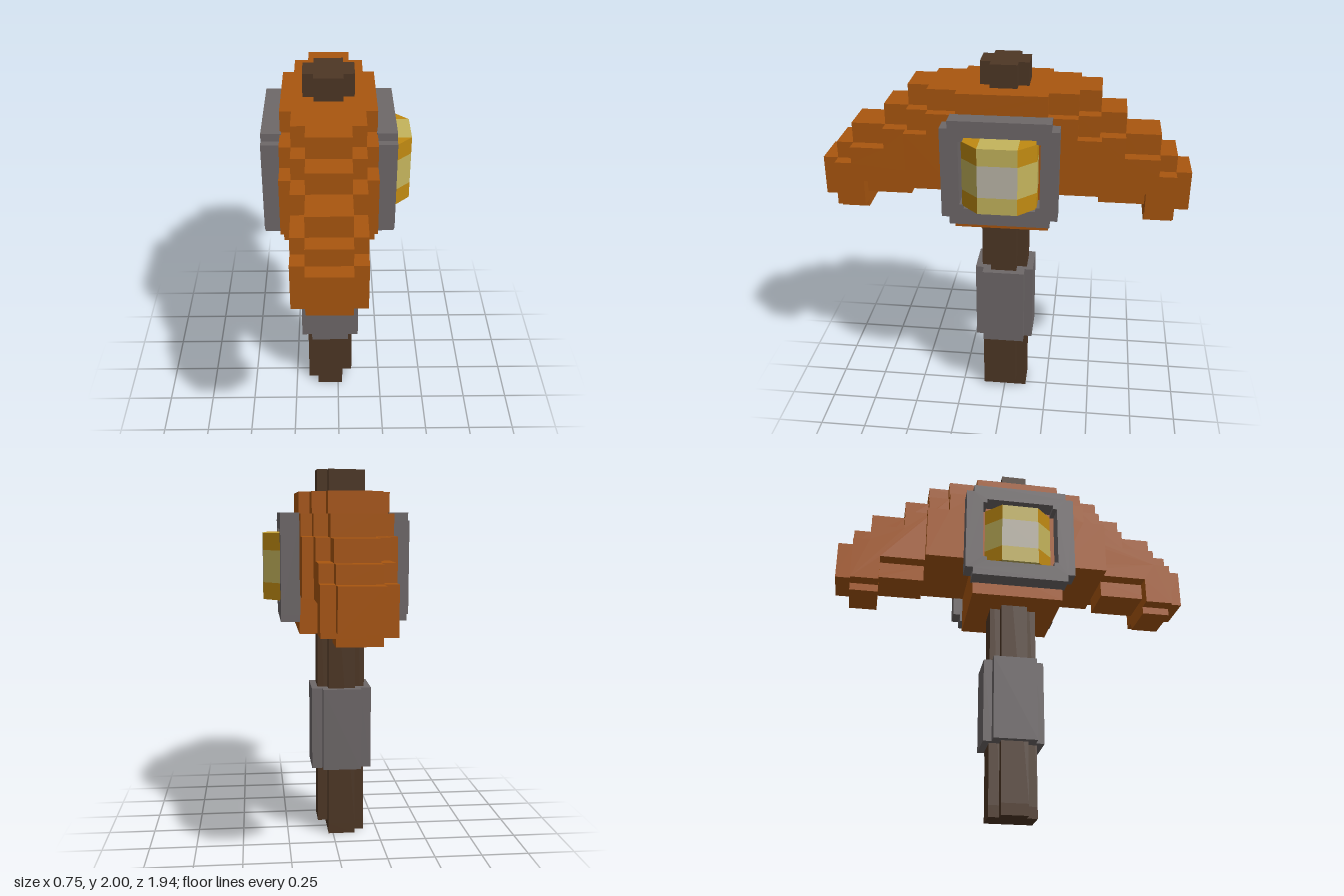
import * as THREE from 'three';

const CX = -0.047; // x of the handle axis

const mat = (name, color) => {
  const m = new THREE.MeshStandardMaterial({ color });
  m.name = name;
  return m;
};

const shapeOf = (pts) => new THREE.Shape(pts.map(([a, b]) => new THREE.Vector2(a, b)));

// Plan outline (x, z) raised from y0 to y1
function upright(pts, y0, y1) {
  const g = new THREE.ExtrudeGeometry(shapeOf(pts), { depth: y1 - y0, bevelEnabled: false });
  return g.rotateX(-Math.PI / 2).translate(0, y0, 0);
}

// Side outline (z, y) spread from x0 to x1
function sideways(shape, x0, x1) {
  const g = new THREE.ExtrudeGeometry(shape, { depth: x1 - x0, bevelEnabled: false });
  return g.rotateY(-Math.PI / 2).translate(x1, 0, 0);
}

// Rectangle with square notches of size n cut from its corners
function notched(cx, cy, w, h, nx, ny = nx) {
  return [
    [-w, -h + ny], [-w + nx, -h + ny], [-w + nx, -h], [w - nx, -h], [w - nx, -h + ny], [w, -h + ny],
    [w, h - ny], [w - nx, h - ny], [w - nx, h], [-w + nx, h], [-w + nx, h - ny], [-w, h - ny],
  ].map(([a, b]) => [cx + a, cy + b]);
}

export function createModel() {
  const wood = mat('dark wood', 0x4e3725);
  const metal = mat('grey metal', 0x6e6869);
  const copper = mat('orange copper', 0xa9560f);
  const gold = mat('gold', 0xc08a12);
  const pale = mat('pale yellow', 0xc4b45c);
  const white = mat('gem white', 0xbcb6a8);

  const root = new THREE.Group();
  const add = (name, geometry, material, parent = root) => {
    const mesh = new THREE.Mesh(geometry, material);
    mesh.name = name;
    parent.add(mesh);
    return mesh;
  };

  // Handle with a cross-shaped section; one arm stops short of the ground
  add('handle', upright(notched(CX, 0, 0.128, 0.125, 0.055), 0.06, 2), wood);
  add('handleFoot', upright([
    [-0.175, -0.07], [-0.12, -0.07], [-0.12, -0.125], [0.025, -0.125],
    [0.025, 0.125], [-0.12, 0.125], [-0.12, 0.07], [-0.175, 0.07],
  ], 0, 0.06), wood);
  add('grip', upright(notched(CX, 0, 0.162, 0.16, 0.058, 0.045), 0.38, 0.83), metal);

  // Stepped head: three nested slabs, each with half a side outline (z, y)
  const slabs = [
    ['headCore', 0.108, [
      [0.245, 1.15], [0.245, 1.36], [0.5, 1.36], [0.5, 1.27], [0.74, 1.27], [0.74, 1.18], [0.89, 1.18],
      [0.89, 1.25], [0.97, 1.25], [0.97, 1.46], [0.89, 1.46], [0.89, 1.55], [0.8, 1.55], [0.8, 1.66],
      [0.62, 1.66], [0.62, 1.77], [0.49, 1.77], [0.49, 1.88],
    ]],
    ['headMiddle', 0.178, [
      [0.245, 1.15], [0.245, 1.36], [0.74, 1.36], [0.74, 1.22], [0.89, 1.22], [0.89, 1.46], [0.8, 1.46],
      [0.8, 1.55], [0.62, 1.55], [0.62, 1.66], [0.49, 1.66], [0.49, 1.77], [0.38, 1.77], [0.38, 1.88],
    ]],
    ['headOuter', 0.235, [
      [0.245, 1.15], [0.245, 1.36], [0.5, 1.36], [0.5, 1.66], [0.38, 1.66], [0.38, 1.77],
      [0.23, 1.77], [0.23, 1.88],
    ]],
  ];
  // The 1.46 to 1.88 steps of the middle slab sit one step inside the core
  for (const [name, half, pts] of slabs) {
    const mirrored = pts.map(([z, y]) => [-z, y]).reverse();
    add(name, sideways(shapeOf([...pts, ...mirrored]), CX - half, CX + half), copper);
  }

  // Square frames on both faces of the head
  const frame = shapeOf(notched(0, 1.495, 0.297, 0.28, 0.04));
  frame.holes.push(new THREE.Path(
    notched(0, 1.497, 0.205, 0.193, 0.022).map(([a, b]) => new THREE.Vector2(a, b)).reverse()));
  add('frameLeft', sideways(frame, 0.185, 0.285), metal);
  add('frameRight', sideways(frame, -0.375, -0.275), metal);

  // Faceted gems: three rows by three columns, sloping away at the sides
  const rows = [1.32, 1.41, 1.58, 1.67];
  const gem = (name, face, back, s) => {
    const group = new THREE.Group();
    group.name = name;
    const rim = face - s * 0.09;
    for (let r = 0; r < 3; r++) {
      for (let c = -1; c <= 1; c++) {
        const pts = c === 0
          ? [[back, -0.1], [face, -0.1], [face, 0.1], [back, 0.1]]
          : [[back, c * 0.1], [face, c * 0.1], [rim, c * 0.19], [back, c * 0.19]];
        const outer = (r !== 1) + (c !== 0);
        add('gemFacet', upright(pts, rows[r], rows[r + 1]), [white, pale, gold][outer], group);
      }
    }
    root.add(group);
  };
  gem('gemLeft', 0.37, 0.18, 1);
  gem('gemRight', -0.365, -0.27, -1);

  return root;
}
